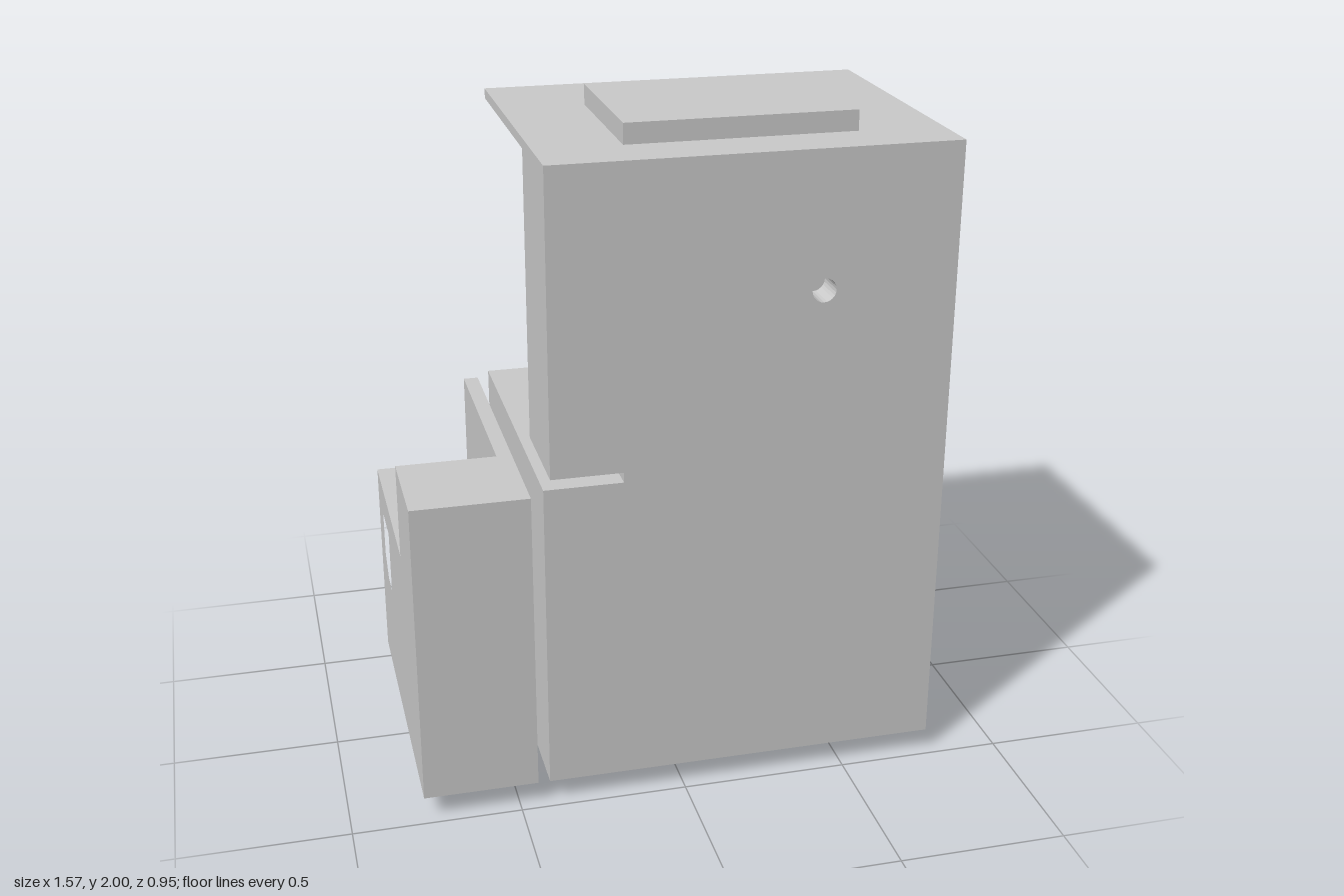
import * as THREE from 'three';

const material = new THREE.MeshStandardMaterial({ color: 0xcccccc, flatShading: true });

export function createModel() {
  const model = new THREE.Group();

  const add = (name, geometry) => {
    const mesh = new THREE.Mesh(geometry, material);
    mesh.name = name;
    model.add(mesh);
  };

  // Box given by its limits on each axis
  const box = (name, x0, x1, y0, y1, z0, z1) => {
    const g = new THREE.BoxGeometry(x1 - x0, y1 - y0, z1 - z0);
    g.translate((x0 + x1) / 2, (y0 + y1) / 2, (z0 + z1) / 2);
    add(name, g);
  };

  const rect = (a0, a1, b0, b1) => [[a0, b0], [a1, b0], [a1, b1], [a0, b1]];
  const circle = (a, b, r) => Array.from({ length: 24 }, (_, i) => {
    const t = (i / 24) * Math.PI * 2;
    return [a + r * Math.cos(t), b + r * Math.sin(t)];
  });

  // Outline with holes, extruded along an axis: x takes [z, y], y takes [x, z], z takes [x, y]
  const slab = (name, axis, from, to, outline, holes = []) => {
    const map = {
      x: ([z, y]) => new THREE.Vector2(-z, y),
      y: ([x, z]) => new THREE.Vector2(x, -z),
      z: ([x, y]) => new THREE.Vector2(x, y),
    }[axis];
    const shape = new THREE.Shape(outline.map(map));
    shape.holes = holes.map((h) => new THREE.Path(h.map(map)));
    const g = new THREE.ExtrudeGeometry(shape, { depth: to - from, bevelEnabled: false });
    if (axis === 'x') g.rotateY(Math.PI / 2).translate(from, 0, 0);
    if (axis === 'y') g.rotateX(-Math.PI / 2).translate(0, from, 0);
    if (axis === 'z') g.translate(0, 0, from);
    add(name, g);
  };

  const back = -0.475, front = 0.475, panel = 0.375;

  // Front panel with the side slit and the round hole
  slab('frontPanel', 'z', panel, front, [
    [-0.41, 0.07], [0.78, 0.07], [0.78, 1.94], [-0.39, 1.94],
    [-0.39, 1.05], [-0.18, 1.05], [-0.18, 1.02], [-0.41, 1.02],
  ], [circle(0.39, 1.54, 0.035)]);

  // Main housing: stepped underside, with an upright slot in the side panel
  const side = [
    [panel, 0.07], [panel, 1.94], [back, 1.94], [back, 0.265],
    [0.04, 0.265], [0.04, 0.195], [0.3, 0.195], [0.3, 0.07],
  ];
  slab('housingCore', 'x', -0.04, 0.68, side);
  slab('sidePanel', 'x', 0.68, 0.78, side, [rect(-0.39, -0.295, 1.28, 1.7)]);
  box('slotStep', 0.68, 0.76, 1.28, 1.7, -0.345, -0.295);

  // Block under the housing with three connector holes facing back
  slab('connectorPanel', 'z', -0.18, -0.1, rect(-0.04, 0.78, 0.07, 0.265), [
    rect(0.65, 0.71, 0.135, 0.2),
    rect(0.29, 0.35, 0.135, 0.2),
    circle(0.05, 0.165, 0.028),
  ]);
  box('connectorBlock', -0.04, 0.78, 0.07, 0.265, -0.1, 0.04);

  // Housing beside the open bay
  box('middleWall', -0.18, -0.04, 0.07, 1.94, back, panel);
  box('bayWall', -0.195, -0.18, 1.05, 1.94, back, panel);
  box('lowerHousing', -0.41, -0.18, 0.07, 1.02, back, panel);
  box('bayFront', -0.39, -0.195, 1.05, 1.94, 0.165, panel);
  box('bayRoof', -0.39, -0.195, 1.91, 1.94, back, 0.165);

  // Raised lid and foot
  box('topPlate', -0.14, 0.53, 1.94, 2, -0.19, 0.31);
  box('foot', -0.39, -0.07, 0, 0.07, back, 0.2);

  // Side unit: slot below, socket on the outer face, open tray on top
  box('bridge', -0.445, -0.41, 0.375, 0.66, back, 0.195);
  slab('unitBase', 'y', 0.07, 0.12, rect(-0.785, -0.445, back, front),
    [rect(-0.69, -0.62, -0.41, -0.21)]);
  slab('unitOuterPanel', 'x', -0.785, -0.685, rect(back, front, 0.12, 0.71), [
    [[-0.35, 0.47], [-0.28, 0.41], [-0.195, 0.41], [-0.195, 0.61], [-0.35, 0.61]],
  ]);
  box('unitCore', -0.685, -0.445, 0.12, 0.71, back, front);
  box('unitFront', -0.785, -0.445, 0.71, 1, 0.165, front);
  box('trayWall', -0.49, -0.445, 0.71, 1, back, 0.165);

  return model;
}
